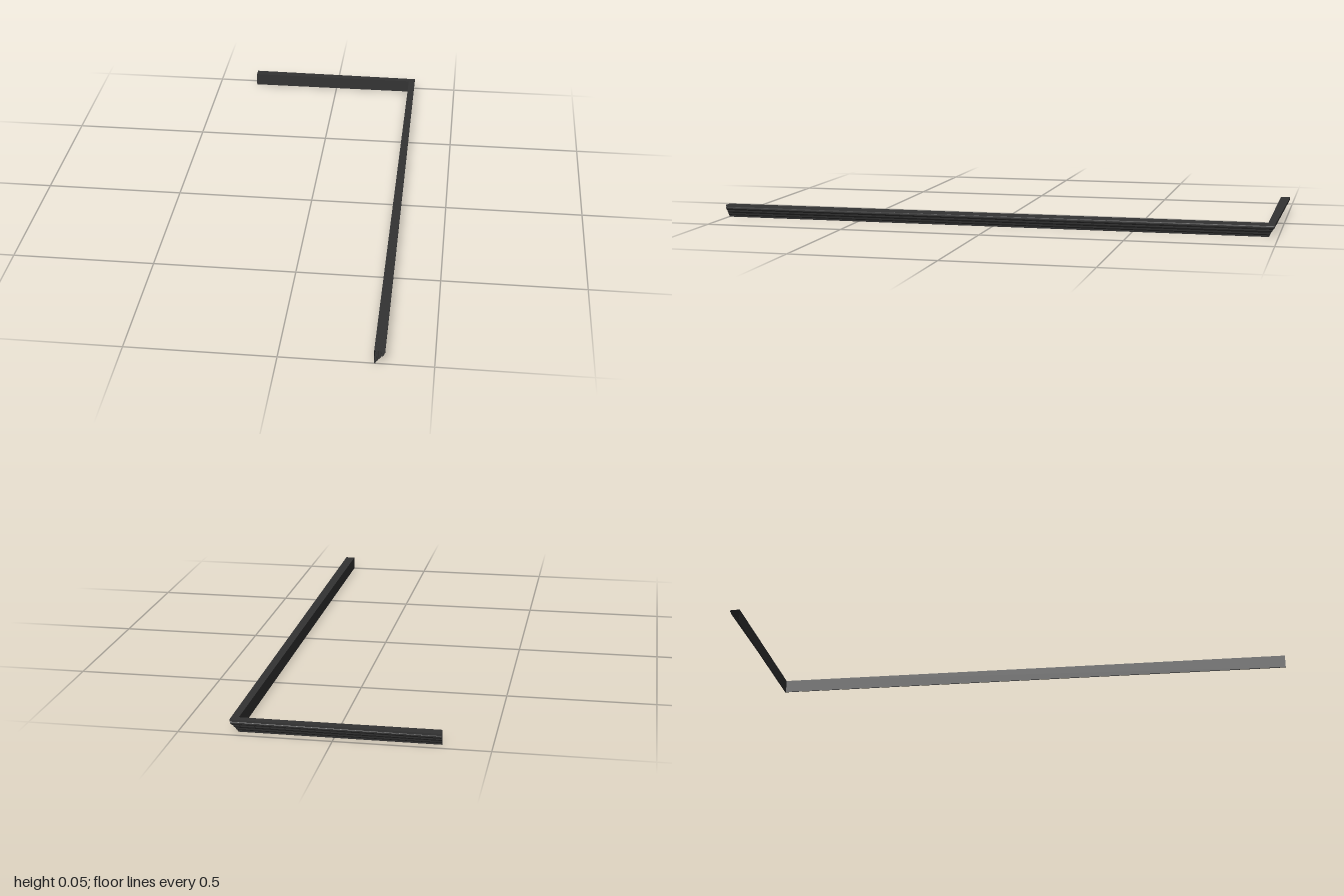
import * as THREE from 'three';

// Moulding section: [distance out from the wall, height], anticlockwise
const PROFILE = [
  [0, 0], [0.005, 0], [0.006, 0.006], [0.011, 0.010], [0.013, 0.016],
  [0.017, 0.018], [0.021, 0.022], [0.022, 0.027], [0.028, 0.029],
  [0.032, 0.034], [0.032, 0.038], [0.028, 0.041], [0.035, 0.041],
  [0.035, 0.048], [0, 0.048],
];

// Stations along the wall line, each with the direction the section faces
const END_SIDE = { x: -0.343, z: -0.965, dx: 0, dz: -1 };
const CORNER = { x: 0.308, z: -0.965, dx: Math.SQRT1_2, dz: -Math.SQRT1_2 };
const END_FRONT = { x: 0.308, z: 1, dx: 1, dz: 0 };

// Loft the section between two stations, leaving the ends open
function makeRun(name, from, to, material) {
  const place = (s, [d, y]) => [s.x + s.dx * d, y, s.z + s.dz * d];
  const positions = [];
  PROFILE.forEach((p, i) => {
    const q = PROFILE[(i + 1) % PROFILE.length];
    const a0 = place(from, p), b0 = place(from, q);
    const a1 = place(to, p), b1 = place(to, q);
    positions.push(...a0, ...b0, ...b1, ...a0, ...b1, ...a1);
  });
  const geometry = new THREE.BufferGeometry();
  geometry.setAttribute('position', new THREE.Float32BufferAttribute(positions, 3));
  geometry.computeVertexNormals();
  const mesh = new THREE.Mesh(geometry, material);
  mesh.name = name;
  return mesh;
}

export function createModel() {
  const group = new THREE.Group();
  group.name = 'cornerMoulding';
  const material = new THREE.MeshStandardMaterial({
    color: 0x333333, flatShading: true, side: THREE.DoubleSide,
  });
  // Short back run and long side run meet at the mitred corner
  group.add(makeRun('shortMoulding', END_SIDE, CORNER, material));
  group.add(makeRun('longMoulding', CORNER, END_FRONT, material));
  return group;
}
